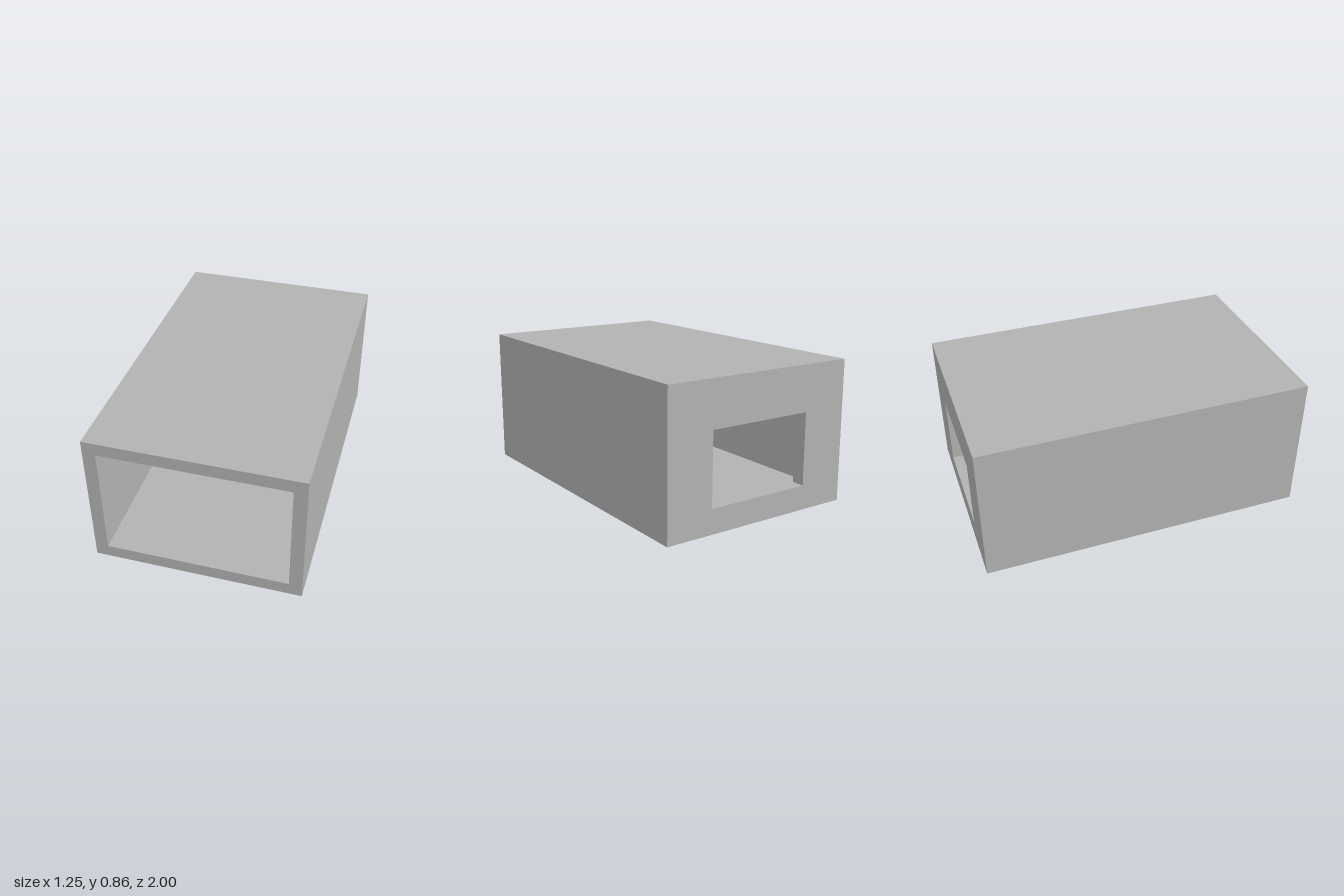
import * as THREE from 'three';

// Rectangles as [half width, bottom, top]
const OUTER = [0.625, 0, 0.86];
const CAVITY = [0.547, 0.08, 0.782];
const WINDOW = [0.333, 0.148, 0.584];
const FRONT = 1, BACK = -1, INNER_BACK = -0.92;

// Corners in counter-clockwise order seen from +z
const corners = ([w, b, t]) => [[-w, b], [w, b], [w, t], [-w, t]].map(([x, y]) => new THREE.Vector2(x, y));

export function createModel() {
  const group = new THREE.Group();
  group.name = 'openBox';
  const grey = new THREE.MeshStandardMaterial({ color: 0xb2b2b2 });
  grey.name = 'grey';

  const add = (name, geometry) => {
    const mesh = new THREE.Mesh(geometry, grey);
    mesh.name = name;
    group.add(mesh);
    return mesh;
  };

  // Flat frame with a rectangular opening, facing +z or -z
  const frame = (name, outer, hole, z, facesBack = false) => {
    const shape = new THREE.Shape(corners(outer));
    shape.holes.push(new THREE.Path(corners(hole).reverse()));
    const geometry = new THREE.ShapeGeometry(shape);
    if (facesBack) geometry.rotateY(Math.PI);
    add(name, geometry.translate(0, 0, z));
  };

  // Four walls running along z, facing outward or inward
  const walls = (name, rect, z0, z1, inward = false) => {
    const c = corners(rect);
    const positions = [];
    for (let i = 0; i < 4; i++) {
      const [p, q] = inward ? [c[(i + 1) % 4], c[i]] : [c[i], c[(i + 1) % 4]];
      const a = [p.x, p.y, z0], b = [p.x, p.y, z1], d = [q.x, q.y, z1], e = [q.x, q.y, z0];
      positions.push(...a, ...d, ...b, ...a, ...e, ...d);
    }
    const geometry = new THREE.BufferGeometry();
    geometry.setAttribute('position', new THREE.Float32BufferAttribute(positions, 3));
    geometry.computeVertexNormals();
    add(name, geometry);
  };

  // Outer shell and its open front
  walls('outerWalls', OUTER, BACK, FRONT);
  frame('frontRim', OUTER, CAVITY, FRONT);
  walls('cavityWalls', CAVITY, INNER_BACK, FRONT, true);

  // Back panel with its window
  frame('backPanelInside', CAVITY, WINDOW, INNER_BACK);
  walls('windowReveal', WINDOW, BACK, INNER_BACK, true);
  frame('backPanelOutside', OUTER, WINDOW, BACK, true);

  return group;
}
